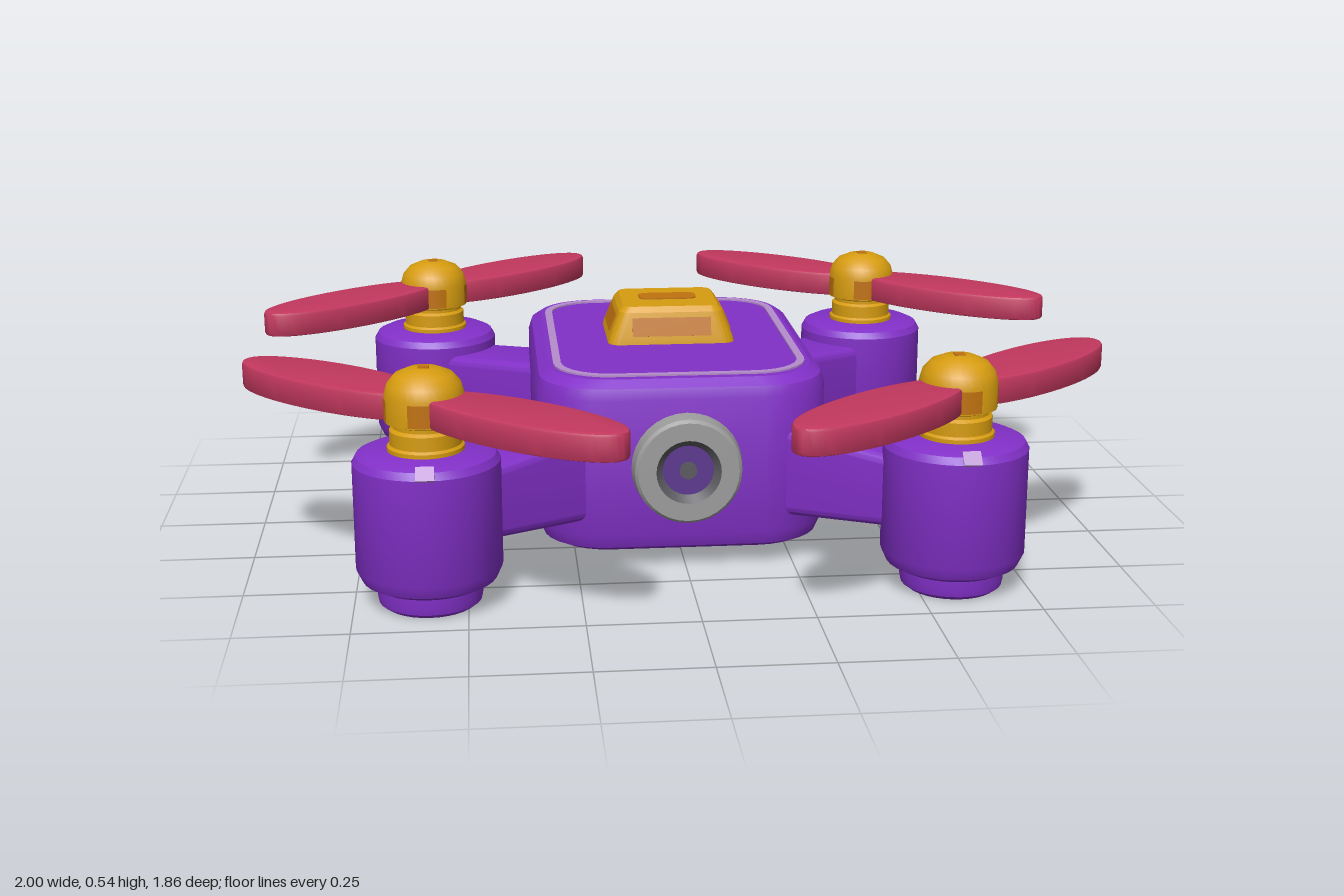
import * as THREE from 'three';
import { toCreasedNormals } from 'three/addons/utils/BufferGeometryUtils.js';

const mat = (name, color) => {
  const m = new THREE.MeshStandardMaterial({ color });
  m.name = name;
  return m;
};
const purple = mat('purple shell', 0x8230c8);
const lilac = mat('lilac trim', 0xb48ccc);
const red = mat('crimson blade', 0xc2385e);
const gold = mat('gold', 0xd69c10);
const amber = mat('amber', 0xc0720f);
const grey = mat('grey bezel', 0x9c9c9c);
const dark = mat('dark grey', 0x5a5a60);
const glass = mat('violet glass', 0x5c3890);

function add(parent, name, geo, material, x = 0, y = 0, z = 0) {
  const mesh = new THREE.Mesh(geo, material);
  mesh.name = name;
  mesh.position.set(x, y, z);
  parent.add(mesh);
  return mesh;
}

// Outline of a rounded rectangle
function roundedRing(hw, hd, r, n = 7) {
  const pts = [];
  const corners = [[1, 1], [-1, 1], [-1, -1], [1, -1]];
  corners.forEach(([sx, sz], k) => {
    for (let i = 0; i <= n; i++) {
      const a = (k + i / n) * Math.PI / 2;
      pts.push(new THREE.Vector2(sx * (hw - r) + r * Math.cos(a), sz * (hd - r) + r * Math.sin(a)));
    }
  });
  return pts;
}

// Closed solid through rounded rectangles [halfWidth, halfDepth, radius, y]
function loft(levels, crease = 0.5) {
  const pos = [], idx = [];
  const rings = levels.map(([w, d, r]) => roundedRing(w, d, r));
  const n = rings[0].length, last = levels.length - 1;
  rings.forEach((ring, l) => ring.forEach(p => pos.push(p.x, levels[l][3], p.y)));
  const bottom = pos.length / 3, top = bottom + 1;
  pos.push(0, levels[0][3], 0, 0, levels[last][3], 0);
  for (let i = 0; i < n; i++) {
    const j = (i + 1) % n;
    for (let l = 0; l < last; l++) {
      const a = l * n + i, b = l * n + j;
      idx.push(a, a + n, b, b, a + n, b + n);
    }
    idx.push(bottom, i, j, top, last * n + j, last * n + i);
  }
  const geo = new THREE.BufferGeometry();
  geo.setAttribute('position', new THREE.Float32BufferAttribute(pos, 3));
  geo.setIndex(idx);
  geo.computeVertexNormals();
  return toCreasedNormals(geo, crease);
}

const lathe = (pts, seg = 32) =>
  toCreasedNormals(new THREE.LatheGeometry(pts.map(p => new THREE.Vector2(...p)), seg), 0.5);

function buildBody(model) {
  const cz = -0.025;
  add(model, 'body', loft([
    [0.3, 0.41, 0.13, 0.04], [0.322, 0.432, 0.145, 0.052], [0.336, 0.445, 0.155, 0.085],
    [0.336, 0.445, 0.155, 0.405], [0.328, 0.437, 0.15, 0.43], [0.305, 0.415, 0.14, 0.447],
  ]), purple, 0, 0, cz);

  // Inlaid trim line on the lid
  const line = new THREE.Shape(roundedRing(0.294, 0.394, 0.13));
  line.holes.push(new THREE.Path(roundedRing(0.276, 0.376, 0.115)));
  const trim = new THREE.ExtrudeGeometry(line, { depth: 0.005, bevelEnabled: false });
  add(model, 'lidTrim', trim.rotateX(-Math.PI / 2), lilac, 0, 0.446, cz);

  // Raised beacon with amber panels
  const beacon = new THREE.Group();
  beacon.name = 'beacon';
  beacon.position.set(0, 0, -0.062);
  model.add(beacon);
  add(beacon, 'beaconCase', loft([
    [0.155, 0.133, 0.03, 0.44], [0.15, 0.131, 0.03, 0.46],
    [0.126, 0.115, 0.03, 0.522], [0.115, 0.104, 0.025, 0.535],
  ], 0.3), gold);
  add(beacon, 'beaconTopPanel', loft([[0.07, 0.032, 0.02, 0.534], [0.07, 0.032, 0.02, 0.538]]), amber, 0, 0, -0.005);
  for (const s of [-1, 1]) {
    add(beacon, 'beaconEndPanel', new THREE.BoxGeometry(0.19, 0.045, 0.005), amber, 0, 0.488, s * 0.124)
      .rotation.x = -s * 0.25;
    add(beacon, 'beaconSidePanel', new THREE.BoxGeometry(0.005, 0.045, 0.15), amber, s * 0.139, 0.49, 0)
      .rotation.z = s * 0.37;
  }
}

function buildCamera(model) {
  const camera = new THREE.Group();
  camera.name = 'camera';
  camera.position.set(0, 0.247, 0.41);
  camera.rotation.x = Math.PI / 2;
  model.add(camera);
  add(camera, 'lensBezel', lathe([[0.128, 0], [0.122, 0.05], [0.115, 0.058], [0.074, 0.058]]), grey);
  add(camera, 'lensBarrel', lathe([[0.074, 0.058], [0.058, 0.04]]), dark);
  add(camera, 'lensGlass', new THREE.CircleGeometry(0.06, 32).rotateX(-Math.PI / 2), glass, 0, 0.04, 0);
  add(camera, 'lensPupil', new THREE.CylinderGeometry(0.02, 0.02, 0.005, 20), dark, 0, 0.042, 0);
}

function buildRotor(model, sx, sz) {
  const rotor = new THREE.Group();
  rotor.name = (sz > 0 ? 'front' : 'rear') + (sx > 0 ? 'Left' : 'Right') + 'Rotor';
  rotor.position.set(sx * 0.583, 0, sz * 0.573);
  model.add(rotor);

  // Flared arm running inward to the body
  const arm = loft([[0.095, 0.08, 0.022, 0.08], [0.105, 0.112, 0.025, 0.47]]).rotateX(Math.PI / 2);
  add(rotor, 'arm', arm, purple, 0, 0.22, 0).rotation.y = Math.atan2(-sx * 0.766, -sz * 0.643);

  add(rotor, 'motorPod', lathe([
    [0, 0.05], [0.125, 0.05], [0.148, 0.062], [0.161, 0.09],
    [0.161, 0.328], [0.152, 0.344], [0.132, 0.353], [0, 0.353],
  ]), purple);
  add(rotor, 'foot', lathe([
    [0, 0], [0.1, 0], [0.113, 0.01], [0.116, 0.025], [0.116, 0.055], [0, 0.055],
  ]), purple);
  add(rotor, 'podMark', new THREE.BoxGeometry(0.04, 0.034, 0.006), lilac, 0, 0.341, sz * 0.152)
    .rotation.x = -sz * 0.75;

  // Hub with collar, domed cap and amber panels
  add(rotor, 'hub', lathe([
    [0.084, 0.35], [0.084, 0.362], [0.078, 0.367], [0.078, 0.398], [0.07, 0.404], [0.07, 0.412],
    [0.087, 0.418], [0.087, 0.475], [0.08, 0.5], [0.063, 0.52], [0.035, 0.532], [0, 0.535],
  ]), gold);
  for (let i = 0; i < 4; i++) {
    const panel = new THREE.CylinderGeometry(0.0885, 0.0885, 0.05, 8, 1, true, i * Math.PI / 2 - 0.4, 0.8);
    add(rotor, 'hubPanel', panel, amber, 0, 0.446, 0);
  }
  add(rotor, 'hubDot', new THREE.BoxGeometry(0.024, 0.005, 0.024), amber, 0, 0.534, 0);

  // Two elliptical blades
  const propeller = new THREE.Group();
  propeller.name = 'propeller';
  propeller.rotation.y = sx * sz * THREE.MathUtils.degToRad(40);
  rotor.add(propeller);
  const outline = new THREE.Shape();
  outline.absellipse(0, 0, 0.26, 0.08, 0, Math.PI * 2);
  const blade = toCreasedNormals(new THREE.ExtrudeGeometry(outline, {
    depth: 0.046, bevelSize: 0.008, bevelThickness: 0.008, bevelSegments: 2, curveSegments: 32,
  }).rotateX(-Math.PI / 2), 0.6);
  for (const s of [-1, 1]) add(propeller, 'blade', blade, red, s * 0.268, 0.425, 0);
}

export function createModel() {
  const model = new THREE.Group();
  model.name = 'quadcopter';
  buildBody(model);
  buildCamera(model);
  for (const sx of [-1, 1]) for (const sz of [-1, 1]) buildRotor(model, sx, sz);
  return model;
}
